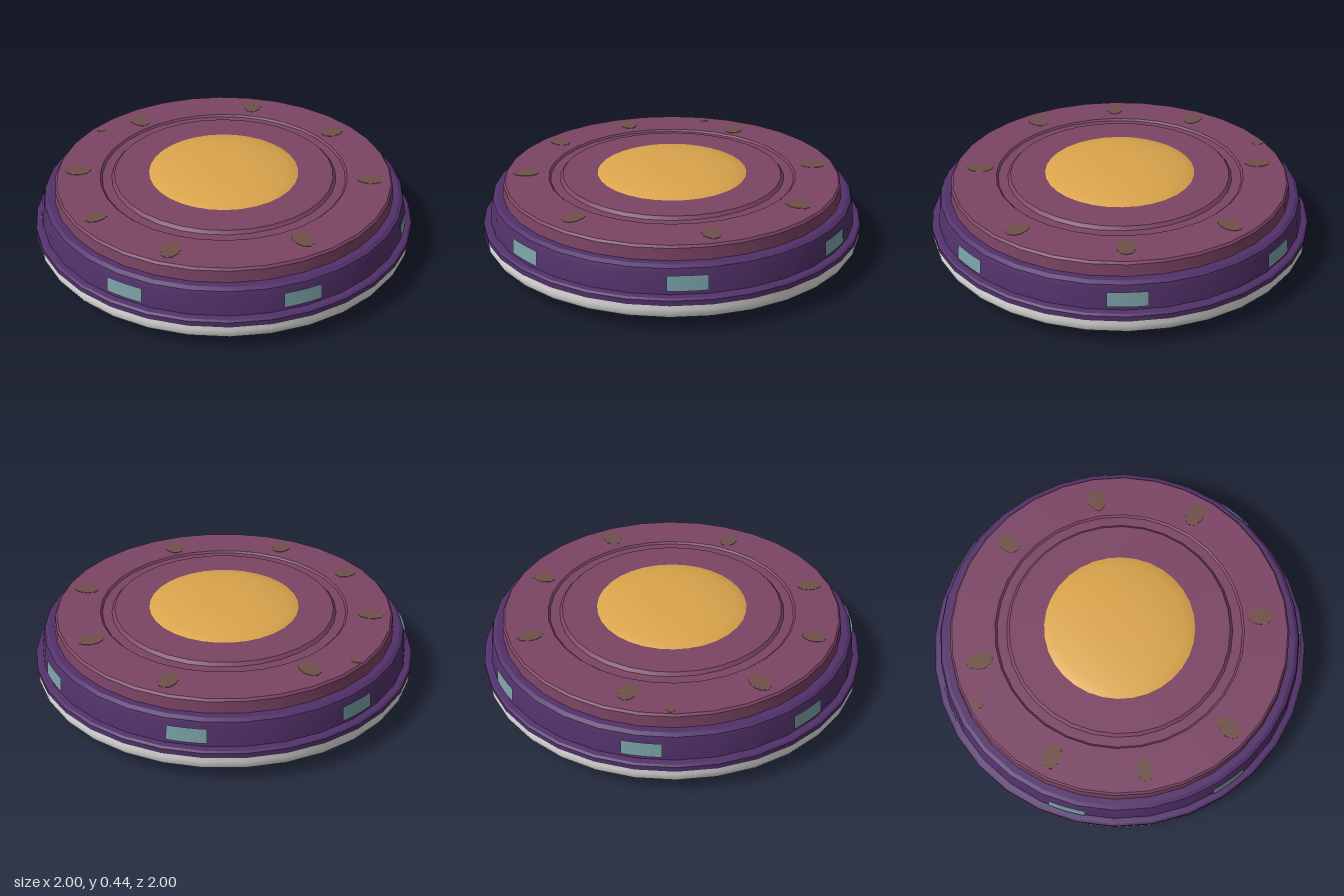
import * as THREE from 'three';
import { toCreasedNormals } from 'three/addons/utils/BufferGeometryUtils.js';

const SEGMENTS = 32;

function material(name, color) {
  const m = new THREE.MeshStandardMaterial({ color });
  m.name = name;
  return m;
}

// Turned part: [radius, height] pairs listed from the bottom up
function turned(name, points, mat, crease = 0.5) {
  const profile = points.map(([r, y]) => new THREE.Vector2(r, y));
  const mesh = new THREE.Mesh(toCreasedNormals(new THREE.LatheGeometry(profile, SEGMENTS), crease), mat);
  mesh.name = name;
  return mesh;
}

export function createModel() {
  const group = new THREE.Group();
  group.name = 'saucer';

  const maroon = material('maroon', 0x7b4464);
  const purple = material('purple', 0x52316a);
  const gold = material('gold', 0xdba54c);
  const white = material('white', 0xe6e6e4);
  const teal = material('teal', 0x7ba3a9);
  const olive = material('olive', 0x6f5048);
  teal.side = THREE.DoubleSide;

  // Upper deck with a shallow ring groove
  group.add(turned('upperDeck', [
    [0.893, 0.31], [0.885, 0.385], [0.875, 0.396], [0.65, 0.396], [0.64, 0.386],
    [0.59, 0.386], [0.575, 0.402], [0, 0.402],
  ], maroon));

  // Lower hull with a matching groove
  group.add(turned('lowerHull', [
    [0, 0.03], [0.615, 0.03], [0.62, 0.036], [0.63, 0.036], [0.635, 0.03],
    [0.75, 0.032], [0.885, 0.076], [0.885, 0.09],
  ], maroon));

  // Purple side wall with a flange at its foot
  group.add(turned('sideWall', [
    [0.97, 0.15], [1, 0.152], [1, 0.178], [0.99, 0.186], [0.963, 0.19],
    [0.952, 0.29], [0.944, 0.314], [0.925, 0.326], [0.88, 0.326],
  ], purple));

  // White bumper and the teal ring under it
  group.add(turned('bumper', [
    [0.94, 0.076], [0.965, 0.076], [0.985, 0.085], [0.996, 0.105],
    [0.998, 0.13], [0.998, 0.155],
  ], white, 0.9));
  group.add(turned('undersideRing', [[0.87, 0.076], [0.942, 0.076]], teal));

  // Gold domes above and below
  group.add(turned('topDome', [
    [0.4, 0.398], [0.39, 0.404], [0.34, 0.414], [0.26, 0.43], [0.14, 0.437], [0, 0.44],
  ], gold, 0.9));
  group.add(turned('bottomDome', [
    [0, 0], [0.14, 0.003], [0.27, 0.01], [0.35, 0.022], [0.4, 0.032],
  ], gold, 0.9));

  // Seven curved windows, the first at the back
  const span = 0.2;
  for (let i = 0; i < 7; i++) {
    const angle = Math.PI + (i * Math.PI * 2) / 7;
    const pane = new THREE.Mesh(
      new THREE.CylinderGeometry(0.96, 0.968, 0.076, 4, 1, true, angle - span / 2, span), teal);
    pane.position.y = 0.248;
    pane.name = 'window';
    group.add(pane);
  }

  // Dim lamps on the deck: x, z, size factor
  const lamps = [
    [0, -0.75, 1], [0.51, -0.57, 1], [-0.51, -0.57, 1], [0.74, 0.065, 1], [-0.74, 0.065, 1],
    [0.45, 0.625, 1], [-0.45, 0.625, 1], [0, 0.77, 0.9], [-0.78, 0.3, 0.45],
  ];
  for (const [x, z, size] of lamps) {
    const lamp = new THREE.Mesh(new THREE.CylinderGeometry(1, 1, 0.004, 10), olive);
    lamp.scale.set(0.047 * size, 1, 0.068 * size);
    lamp.rotation.y = Math.atan2(x, z);
    lamp.position.set(x, 0.396, z);
    lamp.name = 'deckLamp';
    group.add(lamp);
  }

  return group;
}
